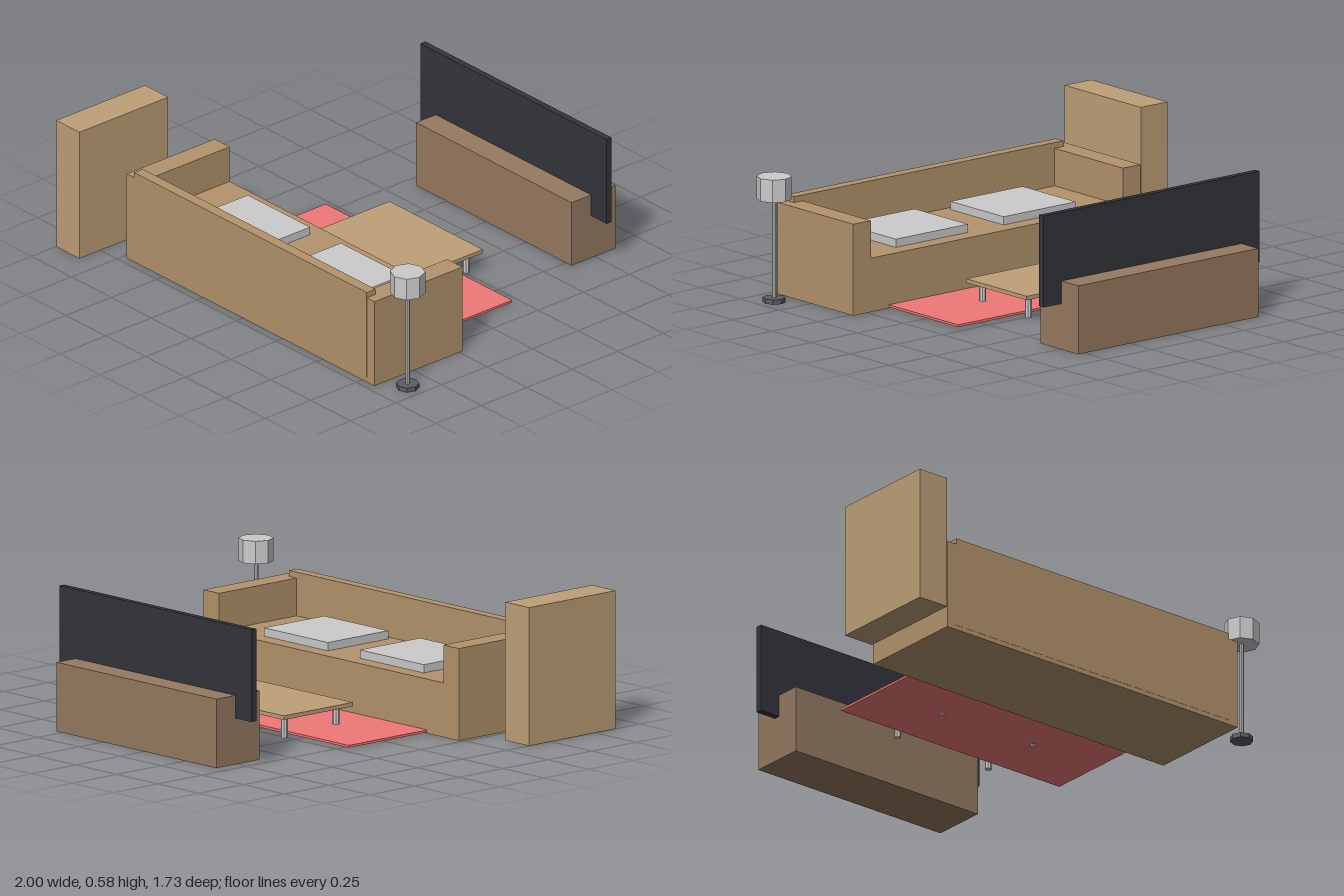
import * as THREE from 'three';

const COLORS = {
  grey: 0xcccccc, sofa: 0xb4946c, wood: 0xbfa078, darkWood: 0x977a60,
  screen: 0x33353b, rug: 0xf07878, metal: 0x5c5c64,
};
const materials = {};
for (const [key, color] of Object.entries(COLORS)) {
  materials[key] = new THREE.MeshStandardMaterial({ color, flatShading: true });
}

// Box given by its extents along x, y and z
function box(parent, name, material, [x0, x1], [y0, y1], [z0, z1]) {
  const mesh = new THREE.Mesh(new THREE.BoxGeometry(x1 - x0, y1 - y0, z1 - z0), materials[material]);
  mesh.position.set((x0 + x1) / 2, (y0 + y1) / 2, (z0 + z1) / 2);
  mesh.name = name;
  parent.add(mesh);
}

// Upright eight-sided cylinder between two heights
function post(parent, name, material, radius, x, z, y0, y1) {
  const mesh = new THREE.Mesh(new THREE.CylinderGeometry(radius, radius, y1 - y0, 8), materials[material]);
  mesh.position.set(x, (y0 + y1) / 2, z);
  mesh.name = name;
  parent.add(mesh);
}

function group(parent, name) {
  const g = new THREE.Group();
  g.name = name;
  parent.add(g);
  return g;
}

export function createModel() {
  const room = new THREE.Group();
  room.name = 'livingRoom';
  const cx = 0.0475; // centre line of the sofa, rug, table and screen

  // Sofa with its open side towards the screen
  const sofa = group(room, 'sofa');
  box(sofa, 'seat', 'sofa', [-0.635, 0.73], [0, 0.23], [0.232, 0.715]);
  box(sofa, 'rightArm', 'sofa', [-0.73, -0.635], [0, 0.39], [0.232, 0.715]);
  box(sofa, 'leftArm', 'sofa', [0.73, 0.825], [0, 0.39], [0.232, 0.715]);
  box(sofa, 'backrest', 'sofa', [-0.682, 0.777], [0.02, 0.415], [0.668, 0.716]);
  for (const s of [-1, 1]) {
    const x = cx + s * 0.292;
    box(sofa, 'seatCushion', 'grey', [x - 0.195, x + 0.195], [0.21, 0.265], [0.303, 0.643]);
  }

  // Rug
  box(room, 'rug', 'rug', [-0.537, 0.632], [0.005, 0.015], [-0.21, 0.278]);

  // Coffee table
  const table = group(room, 'coffeeTable');
  box(table, 'tableTop', 'wood', [-0.245, 0.34], [0.09, 0.107], [-0.305, 0.083]);
  for (const sx of [-1, 1]) {
    for (const sz of [-1, 1]) {
      post(table, 'tableLeg', 'grey', 0.0145, cx + sx * 0.243, -0.111 + sz * 0.146, 0, 0.09);
    }
  }

  // Television on its low cabinet
  const media = group(room, 'mediaUnit');
  box(media, 'cabinet', 'darkWood', [-0.44, 0.535], [0, 0.292], [-0.865, -0.622]);
  box(media, 'screen', 'screen', [-0.537, 0.632], [0.195, 0.585], [-0.758, -0.73]);

  // Bookcase
  box(room, 'bookcase', 'wood', [-1, -0.855], [0, 0.585], [0.377, 0.865]);

  // Floor lamp
  const lamp = group(room, 'floorLamp');
  post(lamp, 'lampBase', 'metal', 0.048, 0.925, 0.62, 0, 0.02);
  post(lamp, 'lampPole', 'grey', 0.0095, 0.925, 0.62, 0.02, 0.44);
  post(lamp, 'lampShade', 'grey', 0.073, 0.925, 0.62, 0.44, 0.537);

  return room;
}
